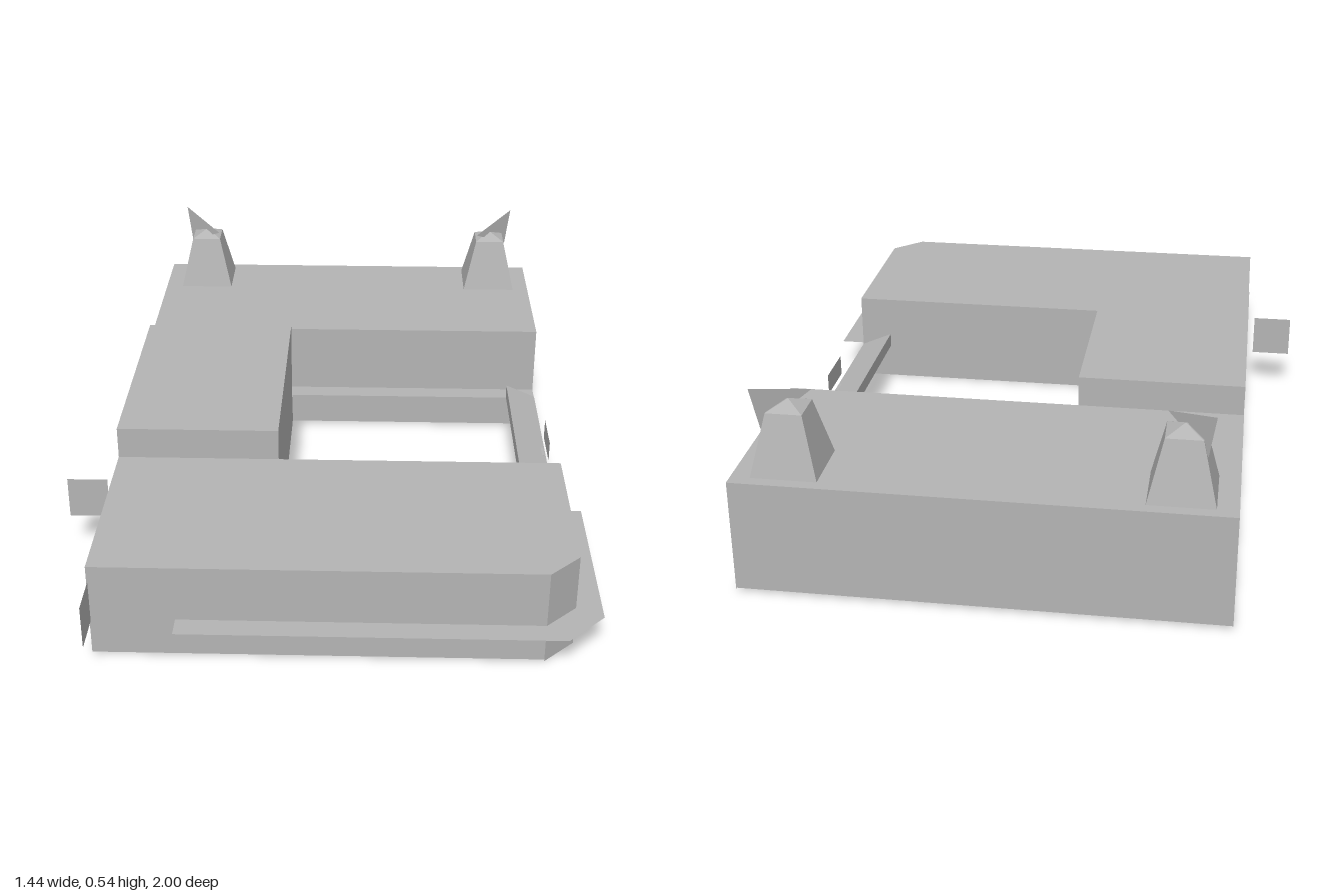
import * as THREE from 'three';
import { mergeGeometries } from 'three/addons/utils/BufferGeometryUtils.js';

const grey = new THREE.MeshStandardMaterial({ color: 0xb4b4b4, side: THREE.DoubleSide });
grey.name = 'plain grey';

// Flat polygon (3 or 4 corners, counter-clockwise from its front)
function face(...corners) {
  const g = new THREE.BufferGeometry();
  const order = corners.length === 3 ? [0, 1, 2] : [0, 1, 2, 0, 2, 3];
  g.setAttribute('position', new THREE.Float32BufferAttribute(order.flatMap(i => corners[i]), 3));
  g.computeVertexNormals();
  return g;
}

// Upright wall from [x, z] to [x, z]
const wall = (a, b, y0, y1) =>
  face([a[0], y0, a[1]], [b[0], y0, b[1]], [b[0], y1, b[1]], [a[0], y1, a[1]]);

// Horizontal sheet with an [x, z] outline
function sheet(outline, y) {
  const shape = new THREE.Shape(outline.map(([x, z]) => new THREE.Vector2(x, -z)));
  const g = new THREE.ShapeGeometry(shape).toNonIndexed();
  g.rotateX(-Math.PI / 2);
  g.translate(0, y, 0);
  g.deleteAttribute('uv');
  return g;
}

// Open-bottomed block; bases[i] is where the wall after corner i starts (null = no wall)
function block(outline, bases, top) {
  const parts = [sheet(outline, top)];
  outline.forEach((p, i) => {
    if (bases[i] !== null) parts.push(wall(p, outline[(i + 1) % outline.length], bases[i], top));
  });
  return mergeGeometries(parts);
}

export function createModel() {
  const model = new THREE.Group();
  model.name = 'courtyardBuilding';
  const add = (name, geometry, parent = model) => {
    const mesh = new THREE.Mesh(geometry, grey);
    mesh.name = name;
    parent.add(mesh);
    return mesh;
  };

  // Main volumes around the courtyard
  const W = -0.588, E = 0.652, C = -0.137;
  add('frontBlock', block(
    [[W, 0.865], [0.57, 0.865], [E, 0.785], [E, 0.312], [C, 0.312], [W, 0.312]],
    [0.005, 0, 0, 0, null, 0.008], 0.265));
  add('sideWing', block(
    [[W, 0.312], [C, 0.312], [C, -0.38], [W, -0.38]],
    [0.265, 0.003, 0.1, 0.008], 0.355));
  add('lowLink', block(
    [[W, -0.38], [C, -0.38], [C, -0.4], [E, -0.4], [E, -0.46], [W, -0.46]],
    [null, 0.005, 0.005, 0.005, null, 0.008], 0.1));
  add('backBlock', block(
    [[W, -0.46], [E, -0.46], [E, -1], [W, -1]],
    [0.1, 0.008, 0.01, 0.01], 0.31));

  // Thin canopy around the chamfered corner
  add('canopy', sheet([[-0.37, 0.865], [-0.37, 0.927], [0.62, 0.927], [0.72, 0.825],
    [0.72, 0.312], [E, 0.312], [E, 0.785], [0.57, 0.865]], 0.11));

  // Sloping roof over the gateway, with its post
  add('gateRoof', mergeGeometries([
    face([0.56, 0.145, 0.312], [E, 0.105, 0.312], [E, 0.105, -0.4], [0.56, 0.145, -0.4]),
    wall([0.56, -0.4], [0.56, 0.312], 0.105, 0.145),
  ]));
  add('gatePost', new THREE.BoxGeometry(0.045, 0.11, 0.045)).position.set(0.625, 0.055, -0.03);

  // Sign boards
  add('gateSign', wall([0.654, 0.045], [0.654, -0.1], 0.12, 0.18));
  add('courtyardSign', wall([C + 0.004, 0.09], [C + 0.004, -0.14], 0.14, 0.23));
  add('sideSign', wall([-0.722, 0.39], [-0.61, 0.39], 0.118, 0.236));
  add('frontSign', wall([-0.58, 1], [-0.58, 0.888], 0.118, 0.236));

  // Roof turrets with diagonal pennants
  const frustum = (top, bottom, height, y) => {
    const g = new THREE.CylinderGeometry(top * Math.SQRT2, bottom * Math.SQRT2, height, 4, 1, true).toNonIndexed();
    g.rotateY(Math.PI / 4);
    g.translate(0, y + height / 2, 0);
    g.computeVertexNormals();
    return g;
  };
  for (const [side, x] of [[-1, -0.45], [1, 0.518]]) {
    const turret = new THREE.Group();
    turret.name = side < 0 ? 'rightTurret' : 'leftTurret';
    turret.position.set(x, 0.31, -0.885);
    add('turretBody', frustum(0.046, 0.084, 0.16, 0), turret);
    add('turretCap', frustum(0, 0.046, 0.022, 0.16), turret);
    add('pennant', face([side * 0.075, 0.233, -0.068], [-side * 0.045, 0.185, 0.052],
      [side * 0.058, 0.12, -0.051]), turret);
    model.add(turret);
  }
  return model;
}
